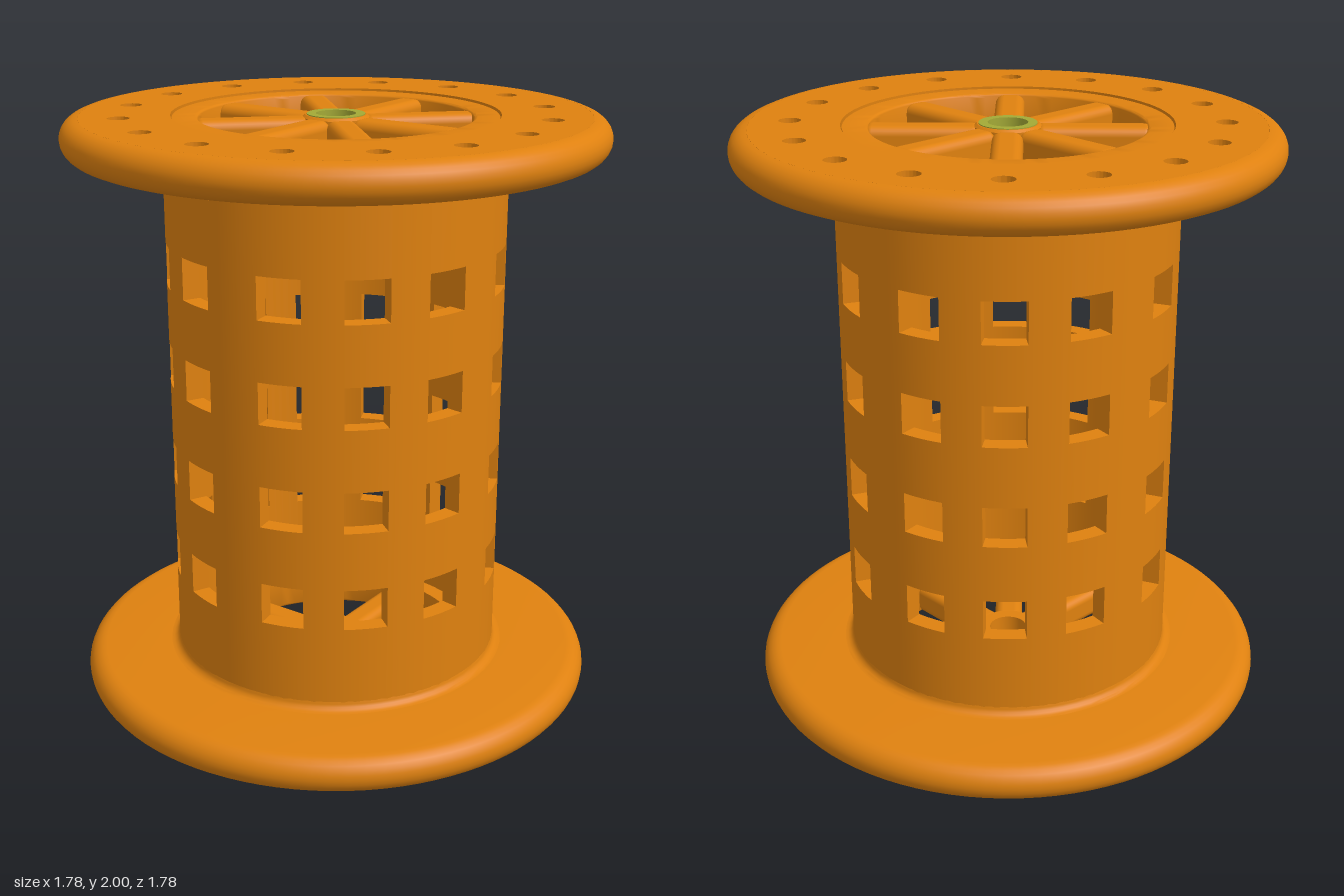
import * as THREE from 'three';
import { mergeGeometries, toCreasedNormals } from 'three/addons/utils/BufferGeometryUtils.js';
import { RoundedBoxGeometry } from 'three/addons/geometries/RoundedBoxGeometry.js';

const H = 0.125;              // flange thickness
const R_OUT = 0.565, R_IN = 0.505; // drum wall
const OPEN = 0.445;           // spoked opening radius
const rad = THREE.MathUtils.degToRad;

function lathe(points, segments = 72) {
  const pts = points.map(([x, y]) => new THREE.Vector2(x, y));
  return toCreasedNormals(new THREE.LatheGeometry(pts, segments), rad(35));
}

function arc(cx, cy, r, from, to, n) {
  return Array.from({ length: n + 1 }, (_, i) => {
    const a = rad(from + (to - from) * i / n);
    return [cx + r * Math.cos(a), cy + r * Math.sin(a)];
  });
}

// Curved wall pierced by rows of square windows with radial reveals
function drumGeometry() {
  const parts = [];
  const half = rad(7.3);
  const centres = [];
  for (let q = 0; q < 4; q++) for (const d of [0, 28, 62]) centres.push(rad(q * 90 + d));
  const rows = [[0.42, 0.56], [0.76, 0.9], [1.11, 1.25], [1.45, 1.59]];
  const bottom = H, top = 2 - H;

  const panel = (a0, a1, y0, y1) => {
    for (const r of [R_OUT, R_IN]) {
      const g = new THREE.CylinderGeometry(r, r, y1 - y0, 4, 1, true, a0, a1 - a0);
      parts.push(g.translate(0, (y0 + y1) / 2, 0));
    }
  };

  centres.forEach((c, i) => {
    const next = i + 1 < centres.length ? centres[i + 1] : Math.PI * 2;
    panel(c + half, next - half, bottom, top);
    let y = bottom;
    for (const [y0, y1] of rows) {
      panel(c - half, c + half, y, y0);
      y = y1;
      for (const s of [y0, y1]) {
        const sill = new THREE.RingGeometry(R_IN, R_OUT, 4, 1, Math.PI / 2 - c - half, half * 2);
        parts.push(sill.rotateX(Math.PI / 2).translate(0, s, 0));
      }
      for (const a of [c - half, c + half]) {
        const jamb = new THREE.PlaneGeometry(R_OUT - R_IN, y1 - y0);
        jamb.translate((R_IN + R_OUT) / 2, (y0 + y1) / 2, 0);
        parts.push(jamb.rotateY(a - Math.PI / 2));
      }
    }
    panel(c - half, c + half, y, top);
  });
  return mergeGeometries(parts);
}

// Flange with its outer face at local y = H
function createFlange(material, name) {
  const flange = new THREE.Group();
  flange.name = name;
  const add = (geometry, partName) => {
    const mesh = new THREE.Mesh(geometry, material);
    mesh.name = partName;
    flange.add(mesh);
    return mesh;
  };

  // Rounded rim, underside, pit floor and inner lip
  const e = H / 2;
  add(lathe([
    [OPEN, 0.105], [OPEN, 0], [0.8275, 0],
    ...arc(0.8275, e, e, -90, 90, 12),
    [0.8275, 0.095], [0.53, 0.095], [0.53, 0.118],
    ...arc(OPEN + 0.013, 0.105, 0.013, 90, 180, 4),
  ], 96), 'flangeBody');

  // Face plate with sixteen blind holes
  const face = new THREE.Shape().absarc(0, 0, 0.8275, 0, Math.PI * 2);
  face.holes.push(new THREE.Path().absarc(0, 0, 0.535, 0, Math.PI * 2, true));
  for (let i = 0; i < 16; i++) {
    const a = i * Math.PI / 8;
    face.holes.push(new THREE.Path().absarc(0.7 * Math.cos(a), 0.7 * Math.sin(a), 0.036, 0, Math.PI * 2, true));
  }
  const plate = new THREE.ExtrudeGeometry(face, { depth: 0.03, bevelEnabled: false, curveSegments: 32 });
  plate.rotateX(-Math.PI / 2).translate(0, 0.095, 0);
  add(toCreasedNormals(plate, rad(35)), 'facePlate');

  // Spokes
  for (let i = 0; i < 8; i++) {
    const spoke = new RoundedBoxGeometry(0.38, 0.11, 0.1, 3, 0.03);
    spoke.translate(0.275, 0.06, 0).rotateY(i * Math.PI / 4);
    add(spoke, 'spoke');
  }

  // Hub
  add(lathe([[0.066, 0.004], [0.11, 0.004], [0.11, 0.112], [0.1, 0.12], [0.066, 0.12], [0.066, 0.004]], 40), 'hub');

  // Fillet where the drum meets the flange
  add(lathe(arc(R_OUT + 0.03, -0.03, 0.03, 90, 180, 5)), 'fillet');
  return flange;
}

export function createModel() {
  const orange = new THREE.MeshStandardMaterial({ color: 0xdf810f, side: THREE.DoubleSide });
  orange.name = 'orange';
  const olive = new THREE.MeshStandardMaterial({ color: 0xa3a936, side: THREE.DoubleSide });
  olive.name = 'oliveGreen';

  const model = new THREE.Group();
  model.name = 'spool';

  const drum = new THREE.Mesh(drumGeometry(), orange);
  drum.name = 'drum';
  model.add(drum);

  const upper = createFlange(orange, 'topFlange');
  upper.position.y = 2 - H;
  const lower = createFlange(orange, 'bottomFlange');
  lower.rotation.x = Math.PI;
  lower.position.y = H;
  model.add(upper, lower);

  // Coloured collar around the top bore
  const collar = new THREE.Mesh(
    lathe([[0.065, 0.07], [0.065, 0.123], [0.095, 0.123], [0.095, 0.119]], 40), olive);
  collar.name = 'hubCollar';
  upper.add(collar);
  return model;
}
